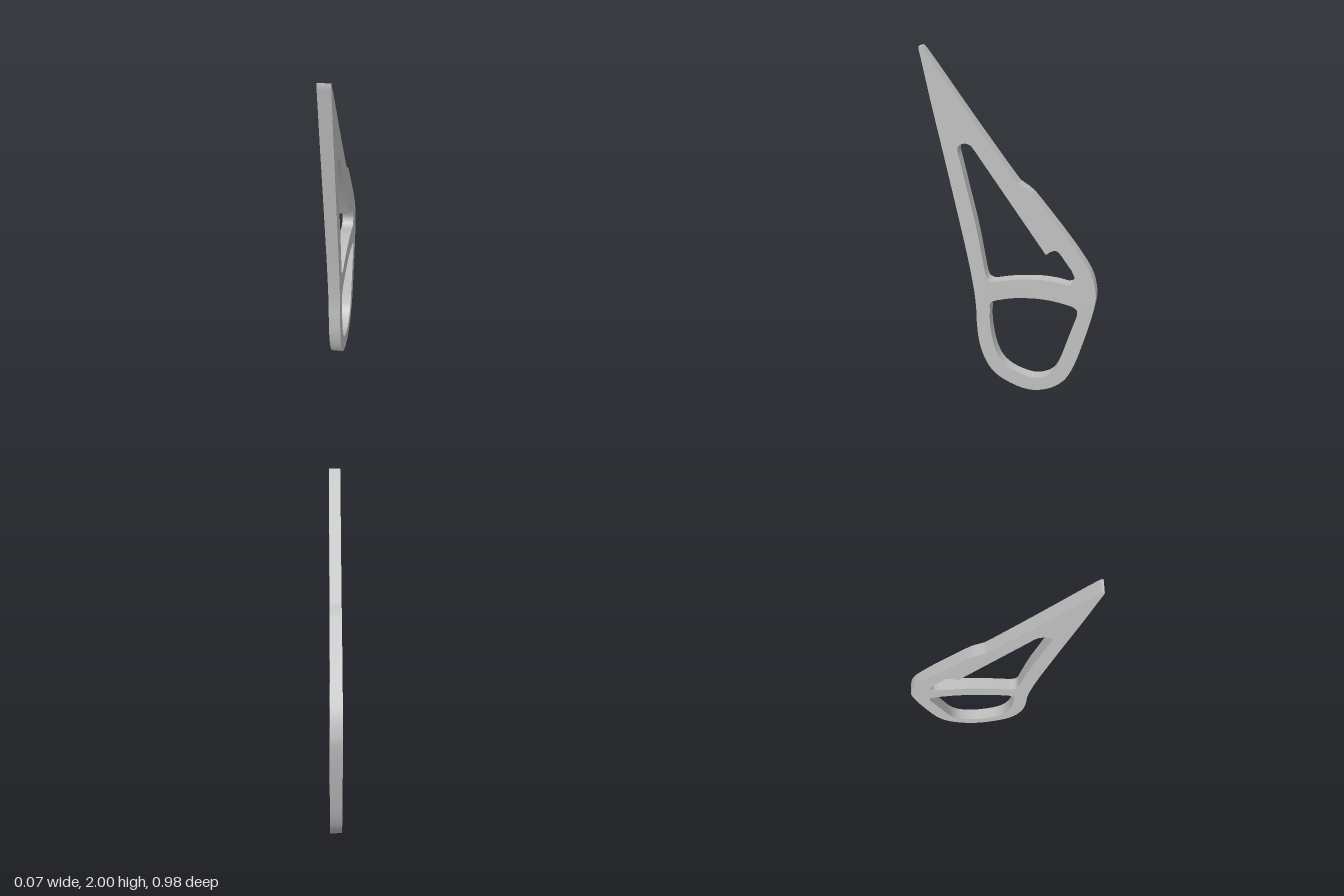
import * as THREE from 'three';
import { toCreasedNormals } from 'three/addons/utils/BufferGeometryUtils.js';

const THICKNESS = 0.066;

// Each run is a flat list of z, y pairs continuing the path:
// one pair makes a straight edge, several make a smooth curve.
function trace(path, start, runs) {
  path.moveTo(...start);
  for (const run of runs) {
    if (run.length === 2) { path.lineTo(...run); continue; }
    const points = [];
    for (let i = 0; i < run.length; i += 2) points.push(new THREE.Vector2(run[i], run[i + 1]));
    path.splineThru(points);
  }
  return path;
}

export function createModel() {
  const group = new THREE.Group();
  const grey = new THREE.MeshStandardMaterial({ color: 0xc0c0c0 });
  grey.name = 'grey';

  // Outer outline, from the blunt tip down the back, round the foot and up the front
  const outline = trace(new THREE.Shape(), [0.492, 2.0], [
    [0.48, 1.998],
    [0.42, 1.92, 0.193, 1.606, -0.02, 1.32, -0.055, 1.283, -0.103, 1.251, -0.15, 1.204,
      -0.31, 1.008, -0.415, 0.865, -0.465, 0.775, -0.487, 0.685, -0.487, 0.62, -0.463, 0.495,
      -0.41, 0.3, -0.368, 0.177, -0.315, 0.087, -0.23, 0.026, -0.125, 0.002, -0.02, 0.024,
      0.087, 0.082, 0.15, 0.167, 0.188, 0.283, 0.202, 0.415, 0.205, 0.52, 0.22, 0.653,
      0.262, 0.89, 0.368, 1.394, 0.431, 1.685, 0.474, 1.897, 0.492, 1.98],
    [0.492, 2.0],
  ]);

  // Long upper opening with the small notch at its back corner
  const upperHole = trace(new THREE.Path(), [0.294, 1.442], [
    [0.288, 1.474, 0.257, 1.49, 0.225, 1.484, 0.204, 1.463],
    [-0.193, 0.897],
    [-0.198, 0.889, -0.209, 0.886],
    [-0.225, 0.902, -0.251, 0.913, -0.272, 0.907, -0.29, 0.886],
    [-0.35, 0.802],
    [-0.367, 0.757, -0.353, 0.722, -0.325, 0.712],
    [-0.257, 0.724, -0.156, 0.727, -0.02, 0.712, 0.098, 0.685],
    [0.13, 0.696, 0.146, 0.728],
    [0.193, 0.997, 0.243, 1.22, 0.294, 1.442],
  ]);

  // Rounded lower opening
  const lowerHole = trace(new THREE.Path(), [0.124, 0.53], [
    [0.114, 0.553, 0.087, 0.569],
    [-0.02, 0.596, -0.15, 0.608, -0.257, 0.602, -0.35, 0.584],
    [-0.384, 0.563, -0.386, 0.521],
    [-0.336, 0.362, -0.288, 0.209, -0.251, 0.14, -0.198, 0.103, -0.124, 0.09,
      -0.02, 0.119, 0.055, 0.177, 0.098, 0.272, 0.119, 0.389, 0.124, 0.475],
    [0.12, 0.5],
    [0.124, 0.53],
  ]);
  outline.holes.push(upperHole, lowerHole);

  // Flat plate, turned so that the profile lies in the z-y plane
  const plate = new THREE.ExtrudeGeometry(outline, { depth: THICKNESS, bevelEnabled: false, curveSegments: 5 });
  plate.translate(0, 0, -THICKNESS / 2);
  plate.rotateY(-Math.PI / 2);

  const frame = new THREE.Mesh(toCreasedNormals(plate, Math.PI / 6), grey);
  frame.name = 'pointedFrame';
  group.add(frame);
  return group;
}
